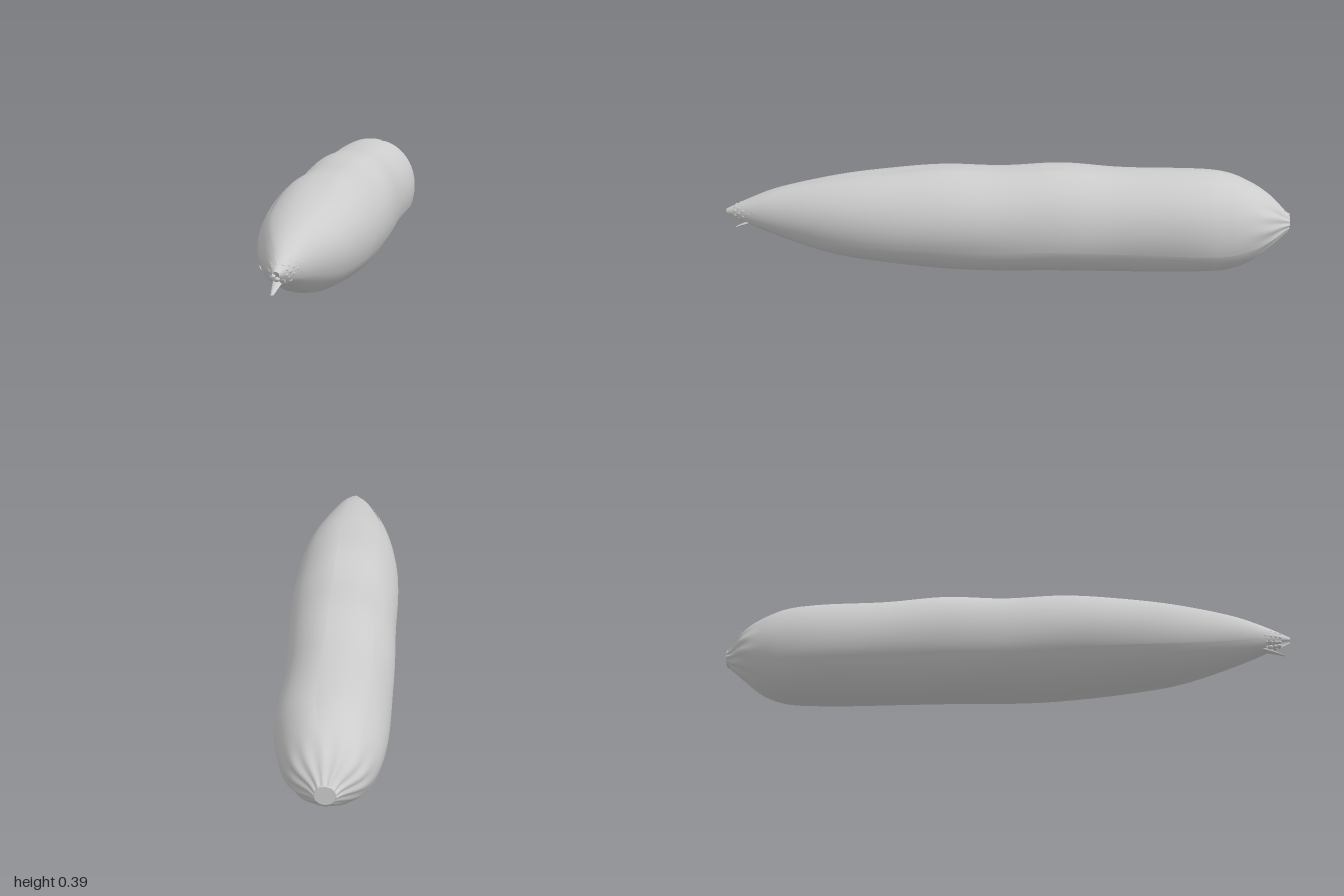
import * as THREE from 'three';

const rad = THREE.MathUtils.degToRad;

// Body outline, back to front: z, left x, right x, bottom y, top y
const SECTIONS = [
  [-1.0, -0.045, 0.022, 0.172, 0.228],
  [-0.975, -0.065, 0.042, 0.15, 0.25],
  [-0.93, -0.118, 0.09, 0.11, 0.293],
  [-0.87, -0.15, 0.125, 0.062, 0.336],
  [-0.78, -0.178, 0.155, 0.026, 0.37],
  [-0.65, -0.194, 0.173, 0.018, 0.383],
  [-0.4, -0.195, 0.168, 0.013, 0.382],
  [-0.2, -0.196, 0.178, 0.008, 0.391],
  [0.0, -0.196, 0.184, 0.005, 0.38],
  [0.2, -0.194, 0.187, 0.01, 0.381],
  [0.4, -0.183, 0.177, 0.022, 0.36],
  [0.6, -0.153, 0.145, 0.048, 0.333],
  [0.8, -0.09, 0.087, 0.105, 0.287],
  [0.92, -0.042, 0.047, 0.15, 0.241],
  [1.0, -0.008, 0.013, 0.183, 0.203],
];
const low = new THREE.CatmullRomCurve3(SECTIONS.map(s => new THREE.Vector3(s[1], s[3], s[0])), false, 'catmullrom');
const high = new THREE.CatmullRomCurve3(SECTIONS.map(s => new THREE.Vector3(s[2], s[4], s[0])), false, 'catmullrom');

// Point on the body at length u (0 back, 1 tip), angle a, radius scale k
function bodyPoint(u, a, k) {
  const p = low.getPoint(u), q = high.getPoint(u);
  return new THREE.Vector3(
    (p.x + q.x) / 2 + Math.cos(a) * k * (q.x - p.x) / 2,
    (p.y + q.y) / 2 + Math.sin(a) * k * (q.y - p.y) / 2,
    p.z);
}

// Surface from a grid of points f(i, j)
function gridGeometry(nu, nv, f) {
  const pos = [], idx = [];
  for (let i = 0; i <= nu; i++) {
    for (let j = 0; j <= nv; j++) {
      pos.push(...f(i / nu, j / nv).toArray());
      if (i < nu && j < nv) {
        const a = i * (nv + 1) + j, b = a + nv + 1;
        idx.push(a, a + 1, b, a + 1, b + 1, b);
      }
    }
  }
  const g = new THREE.BufferGeometry();
  g.setAttribute('position', new THREE.Float32BufferAttribute(pos, 3));
  g.setIndex(idx);
  g.computeVertexNormals();
  return g;
}

// One husk leaf: outer edge at angle a0 lies proud, the edge at a1 is tucked under
function leafGeometry(a0, a1, uEnd, phase) {
  return gridGeometry(90, 24, (s, t) => {
    const u = s * uEnd;
    const tip = THREE.MathUtils.smoothstep(u, 0.78, 1);
    const base = 1 - THREE.MathUtils.smoothstep(u, 0.05, 0.25);
    const wave = rad(2.5) * Math.sin(u * 9 + phase) - rad(24) * tip * tip;
    const a = rad(a0 + (a1 - a0) * t) + wave;
    const tuck = 0.03 * Math.pow(Math.max(0, 1 - t * 3), 2) * Math.abs(Math.sin(u * 5 + phase))
      - 0.045 * Math.pow(Math.max(0, t * 4 - 3), 2);
    const ripple = 0.011 * Math.sin(u * 30 + phase + a * 2) * Math.sin(Math.PI * t);
    const pleat = 0.06 * base * Math.cos(a * 13);
    return bodyPoint(u, a, 1 + tuck + ripple + pleat);
  });
}

export function createModel() {
  const model = new THREE.Group();
  model.name = 'earOfCorn';
  const grey = new THREE.MeshStandardMaterial({ color: 0xcccccc, side: THREE.DoubleSide });
  grey.name = 'pale grey';
  const add = (name, geometry, parent = model) => {
    const m = new THREE.Mesh(geometry, grey);
    m.name = name;
    parent.add(m);
    return m;
  };

  // Husk leaves wrapped round the ear; the lower one stops short of the tip
  add('rightHuskLeaf', leafGeometry(132, 222, 1, 0.4));
  add('topHuskLeaf', leafGeometry(78, 146, 1, 1.7));
  add('leftHuskLeaf', leafGeometry(-24, 92, 1, 2.9));
  add('lowerHuskLeaf', leafGeometry(206, 350, 0.925, 4.1));

  // Inner cob
  add('cob', gridGeometry(40, 24, (s, t) =>
    bodyPoint(0.03 + s * 0.94, t * Math.PI * 2, s < 1 ? 0.82 : 0)));

  // Rows of kernels near the opening
  const kernels = new THREE.Group();
  kernels.name = 'kernels';
  model.add(kernels);
  const kernel = new THREE.SphereGeometry(1, 10, 8);
  for (let r = 0; r < 6; r++) {
    const u = 0.893 + r * 0.014;
    const size = 0.0125 - r * 0.0009;
    const n = 14 - r;
    for (let i = 0; i < n; i++) {
      const k = add('kernel', kernel, kernels);
      k.position.copy(bodyPoint(u, (i + (r % 2) / 2) / n * Math.PI * 2, 0.8));
      k.scale.set(size, size * 0.8, size * 1.1);
    }
  }

  // Small curled leaf hanging below the tip
  const curl = new THREE.QuadraticBezierCurve3(
    new THREE.Vector3(-0.012, 0.165, 0.86),
    new THREE.Vector3(-0.012, 0.152, 0.92),
    new THREE.Vector3(-0.014, 0.128, 0.975));
  add('curledLeafTip', gridGeometry(10, 10, (s, t) => {
    const p = curl.getPoint(s), w = 0.024 * (1 - s * 0.8), a = t * Math.PI * 2;
    p.x += Math.cos(a) * w;
    p.y += Math.sin(a) * w * 0.45;
    return p;
  }));

  // Cut stem at the back
  const stem = add('stem', new THREE.CylinderGeometry(0.034, 0.038, 0.05, 12));
  stem.rotation.x = -Math.PI / 2;
  stem.position.set(-0.012, 0.2, -0.975);
  return model;
}
